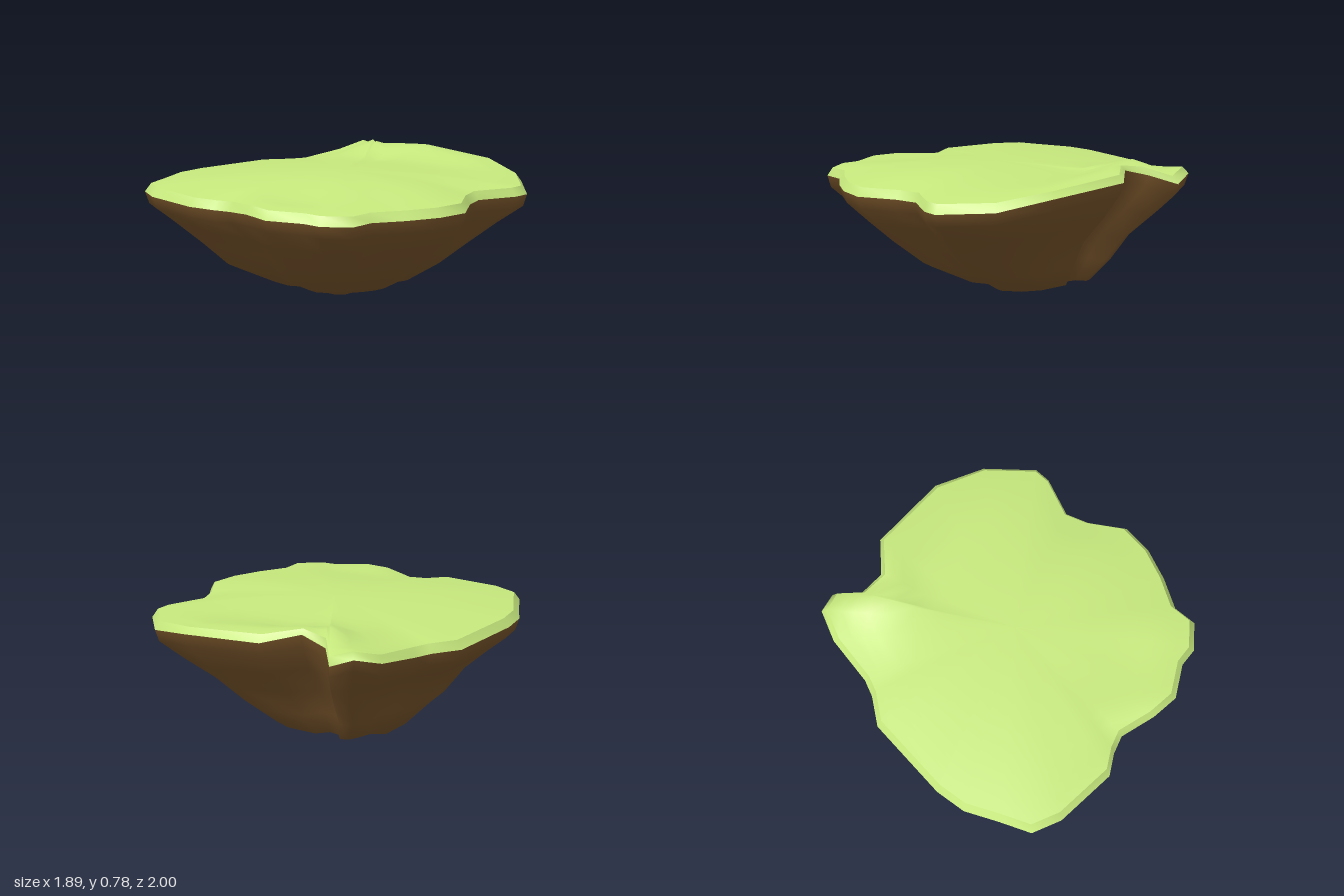
import * as THREE from 'three';

// Island outline seen from above, [x, z], from the back towards +x
const outline = [
  [0.25, -1], [0.56, -0.92], [0.8, -0.71], [0.81, -0.61], [0.74, -0.37], [0.8, -0.24],
  [0.945, -0.06], [0.945, 0.13], [0.89, 0.32], [0.81, 0.5], [0.83, 0.64], [0.71, 0.76],
  [0.6, 0.78], [0.43, 0.9], [0.26, 0.9], [0.05, 0.86], [-0.05, 0.905], [-0.16, 0.985],
  [-0.53, 0.995], [-0.7, 0.94], [-0.79, 0.78], [-0.9, 0.6], [-0.94, 0.42], [-0.95, -0.09],
  [-0.86, -0.25], [-0.83, -0.35], [-0.82, -0.64], [-0.765, -0.81], [-0.65, -0.865],
  [-0.53, -0.745], [-0.37, -0.745], [-0.23, -0.93],
];

const bump = (x, z, cx, cz, r, h) => h * Math.exp(-((x - cx) ** 2 + (z - cz) ** 2) / (r * r));

// Raised ground along the back edge and a slight wave at the front
function lift(x, z) {
  return bump(x, z, -0.45, -0.66, 0.17, 0.095) + bump(x, z, -0.25, -0.85, 0.2, 0.1)
    + bump(x, z, -0.77, -0.78, 0.16, 0.08) + bump(x, z, 0.25, -1, 0.28, 0.065)
    + bump(x, z, 0, 0.87, 0.13, -0.014) + bump(x, z, 0.3, 0.9, 0.15, 0.01);
}

// Gentle hills of the meadow, s = 1 at the rim and 0 in the middle
function meadowHeight(x, z, s) {
  const hills = bump(x, z, 0.5, -0.1, 0.35, 0.012) + bump(x, z, 0.32, 0.6, 0.2, -0.02);
  return 0.66 + lift(x, z) + 0.064 * (1 - s * s) + hills * Math.min(1, (1 - s) * 5);
}

// One ring: the outline scaled by s about a shifted centre, height from a rule
function ring(s, height, cx = 0, cz = 0) {
  return outline.map(([ox, oz]) => {
    const x = cx + ox * s, z = cz + oz * s;
    return [x, height(x, z, ox, oz), z];
  });
}

// Skin over rings, running from below to above
function loft(rings) {
  const n = outline.length, index = [];
  for (let r = 0; r + 1 < rings.length; r++) {
    for (let i = 0; i < n; i++) {
      const j = (i + 1) % n, a = r * n, b = a + n;
      index.push(a + i, b + i, b + j, a + i, b + j, a + j);
    }
  }
  const geometry = new THREE.BufferGeometry();
  geometry.setAttribute('position', new THREE.Float32BufferAttribute(rings.flat(2), 3));
  geometry.setIndex(index);
  geometry.computeVertexNormals();
  return geometry;
}

export function createModel() {
  const island = new THREE.Group();
  island.name = 'floatingIsland';
  const grass = new THREE.MeshStandardMaterial({ color: 0xc6e87d });
  const dirt = new THREE.MeshStandardMaterial({ color: 0x725028 });
  const add = (name, geometry, material) => {
    const mesh = new THREE.Mesh(geometry, material);
    mesh.name = name;
    island.add(mesh);
  };

  const edge = y => (x, z) => y + lift(x, z) * 1.2;
  const lower = (y, k) => (x, z, ox, oz) => y + lift(ox, oz) * k + 0.012 * Math.sin(5 * ox + 3 * oz);
  const base = (x, z) => 0.036 - bump(x, z, -0.46, -0.015, 0.2, 0.044);

  // Earth tapering to a rounded underside
  add('earthUnderside', loft([
    ring(0.001, () => 0.025, -0.12, -0.08),
    ring(0.2, base, -0.12, -0.08),
    ring(0.375, base, -0.11, -0.075),
    ring(0.565, lower(0.16, 0.1), -0.055, 0),
    ring(0.7, lower(0.3, 0.3), -0.01, 0.015),
    ring(0.85, lower(0.43, 0.7), -0.005, 0),
    ring(0.98, edge(0.54)),
    ring(1, edge(0.61)),
  ]), dirt);

  // Bevelled grass border
  const rim = ring(0.967, (x, z) => meadowHeight(x, z, 1));
  add('grassBorder', loft([ring(1, edge(0.61)), rim]), grass);

  // Rolling meadow from the rim to the middle
  const steps = [0.93, 0.86, 0.78, 0.68, 0.56, 0.42, 0.28, 0.14, 0.001];
  add('meadow', loft([rim, ...steps.map(s => ring(0.967 * s, (x, z) => meadowHeight(x, z, s)))]), grass);

  return island;
}
